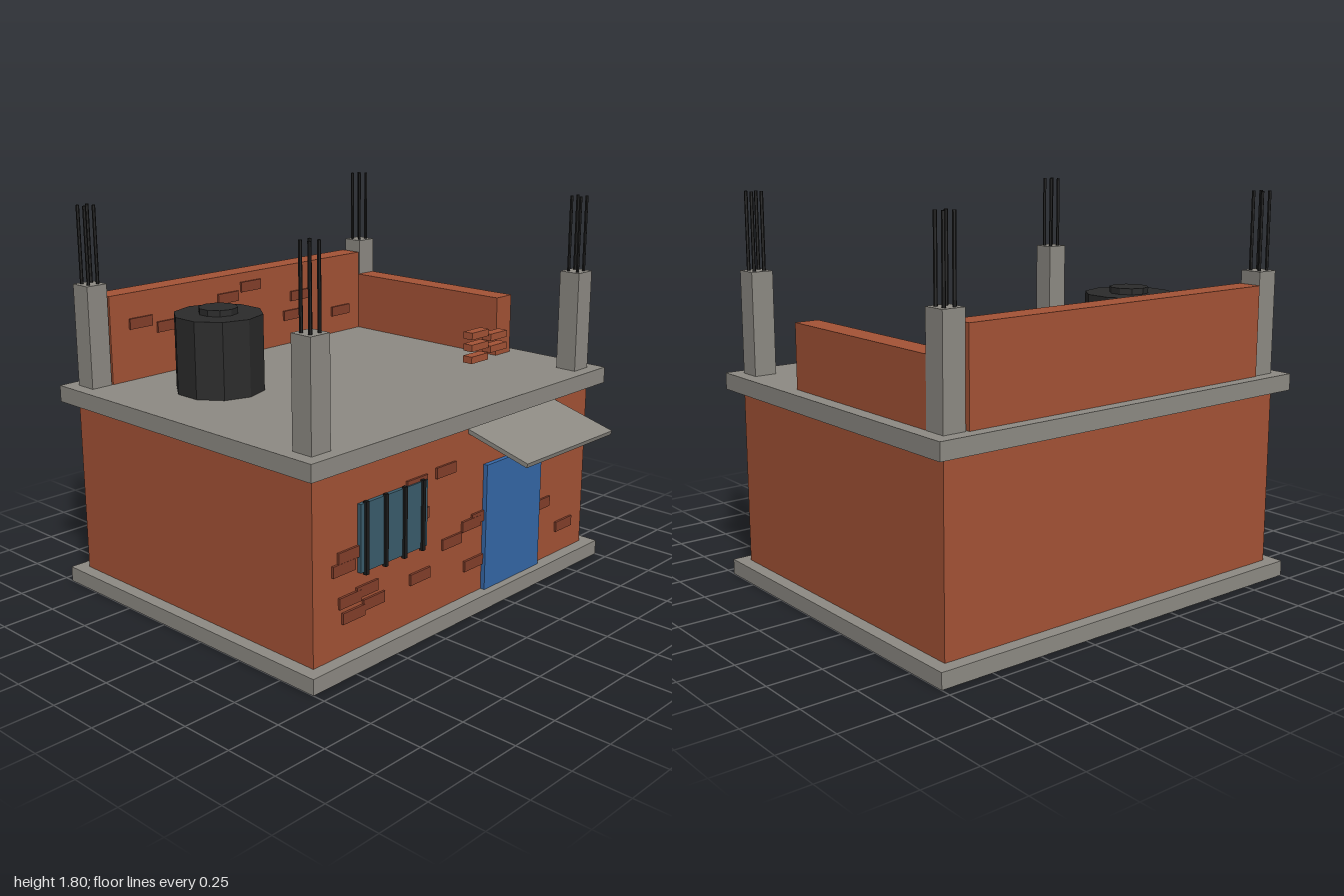
import * as THREE from 'three';

const mat = (name, color) => {
  const m = new THREE.MeshStandardMaterial({ color, flatShading: true });
  m.name = name;
  return m;
};

export function createModel() {
  const concrete = mat('concrete', 0x8e8b84);
  const brick = mat('brick', 0xa55336);
  const darkBrick = mat('dark brick', 0x843f2b);
  const doorBlue = mat('door blue', 0x3568a8);
  const glass = mat('window glass', 0x3b5d6d);
  const tankBlack = mat('tank plastic', 0x2b2b2b);
  const steel = mat('steel', 0x1a1a1a);

  const model = new THREE.Group();
  model.name = 'unfinishedBrickHouse';

  const add = (name, geometry, material, x, y, z, parent = model) => {
    const mesh = new THREE.Mesh(geometry, material);
    mesh.name = name;
    mesh.position.set(x, y, z);
    parent.add(mesh);
    return mesh;
  };
  // Box given by its extents along each axis
  const box = (name, material, x0, x1, y0, y1, z0, z1, parent) =>
    add(name, new THREE.BoxGeometry(x1 - x0, y1 - y0, z1 - z0), material,
      (x0 + x1) / 2, (y0 + y1) / 2, (z0 + z1) / 2, parent);
  const group = (name) => {
    const g = new THREE.Group();
    g.name = name;
    model.add(g);
    return g;
  };

  // Slabs and walls
  box('floorSlab', concrete, -1, 1, 0, 0.072, -0.95, 0.69);
  box('houseWalls', brick, -0.94, 0.94, 0.072, 0.895, -0.89, 0.63);
  box('roofSlab', concrete, -1, 1, 0.895, 0.972, -0.95, 0.69);
  box('backParapet', brick, -0.825, 0.82, 0.972, 1.385, -0.895, -0.78);
  box('sideParapet', brick, 0.822, 0.936, 0.972, 1.265, -0.78, 0.163);

  // Corner columns with four exposed bars each
  const columns = group('columns');
  const rebar = new THREE.CylinderGeometry(0.008, 0.008, 0.4, 6);
  for (const x of [-0.885, 0.885]) {
    for (const z of [-0.835, 0.577]) {
      box('column', concrete, x - 0.053, x + 0.053, 0.972, 1.445, z - 0.053, z + 0.053, columns);
      for (const dx of [-0.025, 0.025]) {
        for (const dz of [-0.025, 0.025]) {
          add('rebar', rebar, steel, x + dx, 1.6, z + dz, columns);
        }
      }
    }
  }

  // Water tank
  const tank = group('waterTank');
  add('tankBody', new THREE.CylinderGeometry(0.205, 0.205, 0.353, 10), tankBlack, -0.53, 1.1485, -0.37, tank);
  add('tankLid', new THREE.CylinderGeometry(0.09, 0.09, 0.03, 10), tankBlack, -0.53, 1.338, -0.37, tank);

  // Door and sloping canopy
  box('door', doorBlue, 0.142, 0.556, 0.072, 0.675, 0.625, 0.652);
  const canopy = add('canopy', new THREE.BoxGeometry(0.648, 0.02, 0.335), concrete, 0.351, 0.813, 0.788);
  canopy.rotation.x = 0.26;

  // Barred window
  const barredWindow = group('window');
  box('windowPane', glass, -0.68, -0.265, 0.412, 0.712, 0.625, 0.648, barredWindow);
  for (const x of [-0.65, -0.532, -0.414, -0.297]) {
    box('windowBar', steel, x - 0.009, x + 0.009, 0.4, 0.72, 0.641, 0.659, barredWindow);
  }

  // Exposed bricks: centre x, y on the front wall
  const exposed = group('exposedBricks');
  const face = new THREE.BoxGeometry(0.13, 0.05, 0.02);
  [[-0.735, 0.508], [-0.767, 0.46], [-0.32, 0.706], [-0.308, 0.556], [-0.128, 0.717],
    [-0.73, 0.31], [-0.628, 0.324], [-0.711, 0.238], [-0.588, 0.257], [-0.294, 0.275],
    [-0.08, 0.372], [0.056, 0.417], [0.123, 0.433], [0.075, 0.222], [0.591, 0.364],
    [0.781, 0.211]].forEach(([x, y], i) =>
    add('wallBrick', face, darkBrick, x, y, 0.63 + (i % 2) * 0.001, exposed));
  // The same on the inner face of the back parapet
  [[-0.655, 1.24], [-0.495, 1.2], [-0.365, 1.219], [-0.118, 1.276], [0.032, 1.315],
    [0.372, 1.219], [0.321, 1.123], [0.673, 1.09]].forEach(([x, y]) =>
    add('parapetBrick', face, darkBrick, x, y, -0.78, exposed));

  // Loose bricks stacked in alternating layers
  const stack = group('brickStack');
  for (let i = 0; i < 5; i++) {
    const x = i % 2 ? 0.732 : 0.587;
    const y = 0.998 + i * 0.0295;
    box('looseBrick', brick, x - 0.064, x + 0.064, y, y + 0.034, 0.195, 0.248, stack);
  }

  return model;
}
